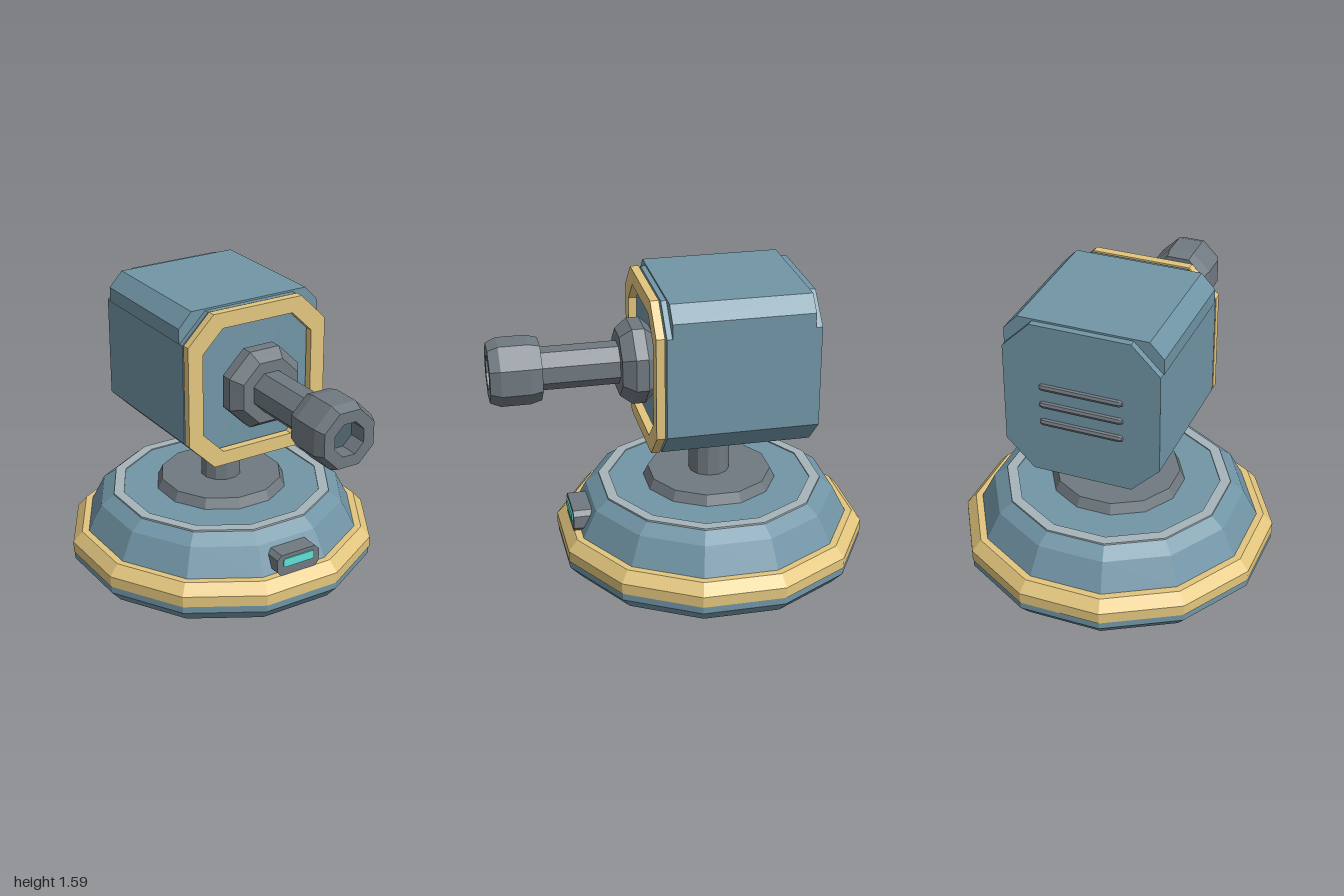
import * as THREE from 'three';

const mat = (color) => new THREE.MeshStandardMaterial({ color, flatShading: true });
const blue = mat(0x7195a6), yellow = mat(0xe3c67e), grey = mat(0x717a81);
const paleGrey = mat(0xa6b4ba), darkBlue = mat(0x4f656e), cyan = mat(0x5fe2d6);

const BASE_Z = -0.18;   // axis of the base and the post
const GUN_Y = 1.155;    // axis of the barrel

function add(parent, name, geometry, material, x = 0, y = 0, z = 0) {
  const mesh = new THREE.Mesh(geometry, material);
  mesh.name = name;
  mesh.position.set(x, y, z);
  parent.add(mesh);
  return mesh;
}

// Faceted turned solid; radii are measured to the flats, one flat faces +z
function turned(sides, profile) {
  const k = 1 / Math.cos(Math.PI / sides);
  const points = profile.map(([r, y]) => new THREE.Vector2(r * k, y));
  return new THREE.LatheGeometry(points, sides, Math.PI / sides);
}

// Corner points of a rectangle with cut corners, centred on (0, cy)
function cutRect(halfW, halfH, cut, cy = 0) {
  const a = halfW - cut, b = halfH - cut;
  return [[halfW, -b], [halfW, b], [a, halfH], [-a, halfH],
    [-halfW, b], [-halfW, -b], [-a, -halfH], [a, -halfH]]
    .map(([x, y]) => new THREE.Vector2(x, y + cy));
}

function extrude(points, depth, hole) {
  const shape = new THREE.Shape(points);
  if (hole) shape.holes.push(new THREE.Path(hole));
  return new THREE.ExtrudeGeometry(shape, { depth, bevelEnabled: false });
}

function createBase() {
  const base = new THREE.Group();
  base.name = 'base';
  base.position.z = BASE_Z;
  add(base, 'foot', turned(12, [[0, 0], [0.755, 0], [0.815, 0.07], [0.815, 0.12], [0, 0.12]]), blue);
  add(base, 'baseBand', turned(12, [[0.7, 0.11], [0.82, 0.11], [0.82, 0.17], [0.77, 0.228], [0.7, 0.228]]), yellow);
  add(base, 'dome', turned(12, [[0.735, 0.225], [0.66, 0.375], [0.585, 0.43], [0, 0.43]]), blue);
  add(base, 'domeRing', turned(12, [[0.59, 0.42], [0.59, 0.436], [0.535, 0.436], [0.535, 0.42]]), paleGrey);
  add(base, 'postCollar', turned(12, [[0.35, 0.43], [0.325, 0.485], [0, 0.485]]), grey);
  add(base, 'post', turned(12, [[0.107, 0.48], [0.107, 0.76]]), grey);
  return base;
}

function createIndicator() {
  const indicator = new THREE.Group();
  indicator.name = 'indicator';
  indicator.position.set(0, 0.29, 0);
  add(indicator, 'indicatorHousing', extrude(cutRect(0.13, 0.06, 0.025), 0.14), grey, 0, 0, 0.455);
  add(indicator, 'indicatorLight', extrude(cutRect(0.095, 0.024, 0.008), 0.03), cyan, 0, 0.014, 0.572);
  return indicator;
}

function createHead() {
  const head = new THREE.Group();
  head.name = 'head';
  add(head, 'headBody', extrude(cutRect(0.415, 0.422, 0.15, 1.158), 0.805), blue, 0, 0, -0.665);
  add(head, 'frontFrame', extrude(cutRect(0.415, 0.424, 0.15, 1.16), 0.045,
    cutRect(0.33, 0.343, 0.12, 1.157)), yellow, 0, 0, 0.15);

  // Roof cover wrapping over the cut upper corners
  const roof = [[0.42, 1.43], [0.42, 1.51], [0.345, 1.59], [-0.345, 1.59], [-0.42, 1.51], [-0.42, 1.43]]
    .map(([x, y]) => new THREE.Vector2(x, y));
  add(head, 'roofCover', extrude(roof, 0.74), blue, 0, 0, -0.628);

  // Three vent bars on the back
  for (let i = 0; i < 3; i++) {
    const bar = new THREE.CapsuleGeometry(0.02, 0.41, 2, 8).rotateZ(Math.PI / 2);
    add(head, 'ventBar', bar, grey, 0, 1.032 + i * 0.102, -0.663);
  }
  return head;
}

function createBarrel() {
  const barrel = new THREE.Group();
  barrel.name = 'barrel';
  barrel.position.y = GUN_Y;
  barrel.rotation.x = Math.PI / 2;
  add(barrel, 'barrelCollar', turned(8, [[0.16, 0.13], [0.21, 0.19], [0.21, 0.255], [0.165, 0.32], [0, 0.32]]), grey);
  add(barrel, 'barrelTube', turned(8, [[0.105, 0.31], [0.105, 0.74]]), grey);
  add(barrel, 'muzzle', turned(8, [[0, 0.73], [0.152, 0.73], [0.167, 0.79], [0.167, 0.945],
    [0.145, 1], [0.085, 1], [0.085, 0.9]]), grey);
  add(barrel, 'boreEnd', turned(8, [[0.086, 0.9], [0, 0.9]]), darkBlue);
  return barrel;
}

export function createModel() {
  const model = new THREE.Group();
  model.name = 'turret';
  model.add(createBase(), createIndicator(), createHead(), createBarrel());
  return model;
}
